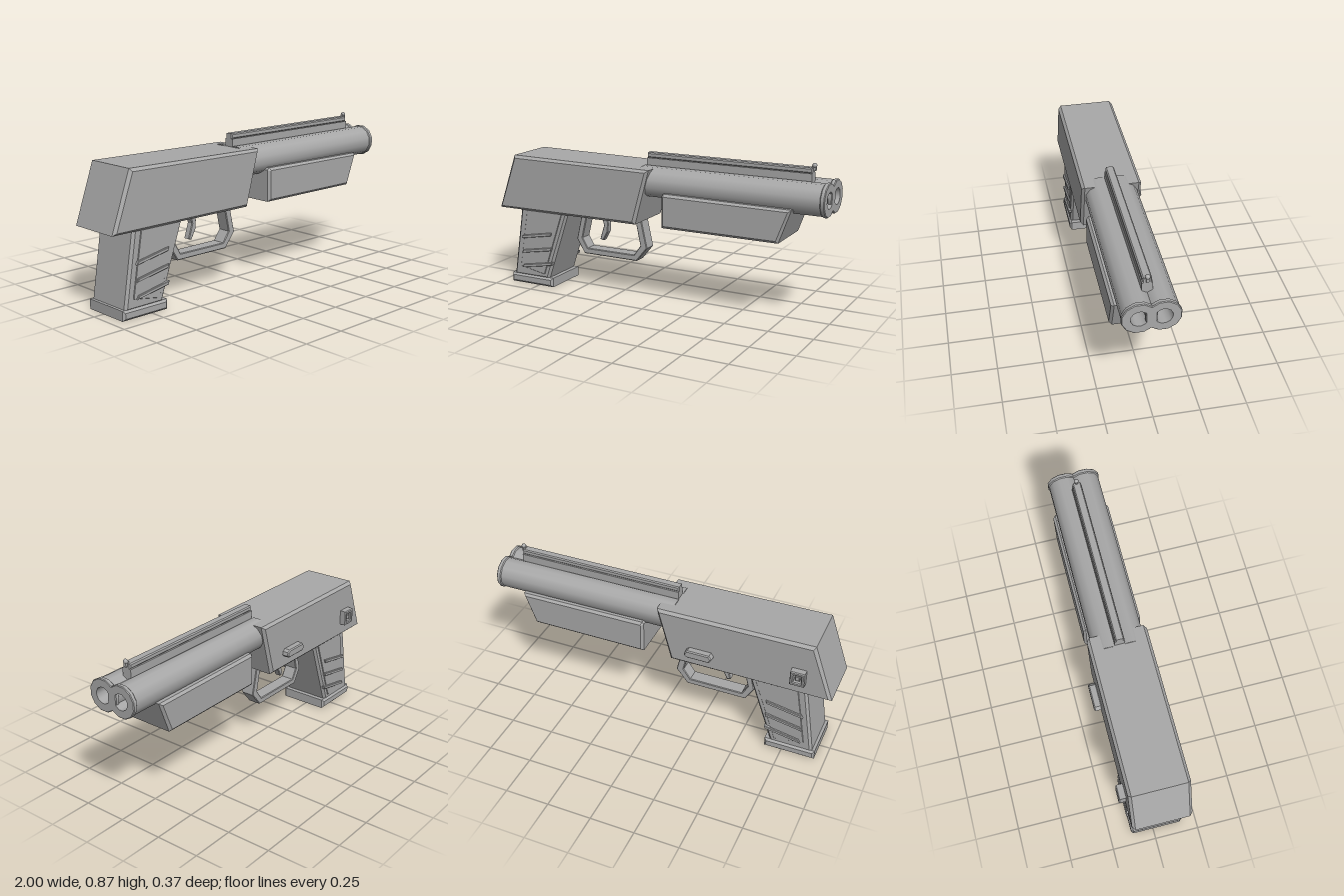
import * as THREE from 'three';
import { toCreasedNormals } from 'three/addons/utils/BufferGeometryUtils.js';

const ZC = 0.021; // middle plane of the model
const metal = new THREE.MeshStandardMaterial({ color: 0xa8a8a8 });
metal.name = 'grey metal';

const toShape = (pts) => new THREE.Shape(pts.map(([x, y]) => new THREE.Vector2(x, y)));

export function createModel() {
  const model = new THREE.Group();
  model.name = 'toyBlaster';

  const add = (name, geometry, x = 0, y = 0, z = 0) => {
    const mesh = new THREE.Mesh(geometry, metal);
    mesh.name = name;
    mesh.position.set(x, y, z);
    model.add(mesh);
    return mesh;
  };

  // Side profile extruded across z, with chamfers that stay inside the outline
  const slab = (name, pts, width, bevel, z = ZC, hole = null) => {
    const shape = toShape(pts);
    if (hole) shape.holes.push(toShape(hole));
    const geometry = new THREE.ExtrudeGeometry(shape, {
      depth: width - 2 * bevel,
      bevelEnabled: bevel > 0,
      bevelThickness: bevel,
      bevelSize: bevel,
      bevelOffset: -bevel,
      bevelSegments: 1,
    });
    geometry.translate(0, 0, -width / 2 + bevel);
    return add(name, geometry, 0, 0, z);
  };
  const rect = (x0, x1, y0, y1) => [[x0, y0], [x1, y0], [x1, y1], [x0, y1]];

  // Receiver and fore-end
  slab('receiver', [[-1, 0.455], [-0.085, 0.455], [0, 0.768], [-0.887, 0.778]], 0.332, 0.016);
  slab('foreEnd', [[0.08, 0.455], [0.76, 0.455], [0.828, 0.64], [0.09, 0.647], [0.08, 0.635]], 0.324, 0.014);

  // Paired barrels with raised muzzle rings and open bores
  const profile = [
    [0, -0.08], [0.086, -0.08], [0.086, 0.974], [0.091, 0.979],
    [0.091, 0.996], [0.087, 1], [0.045, 1], [0.045, 0.88], [0, 0.88],
  ].map(([r, h]) => new THREE.Vector2(r, h));
  for (const side of [-1, 1]) {
    const geometry = toCreasedNormals(new THREE.LatheGeometry(profile, 12, Math.PI / 12), 0.6);
    geometry.rotateZ(-Math.PI / 2);
    add(side > 0 ? 'frontBarrel' : 'backBarrel', geometry, 0, 0.691, ZC + side * 0.0595);
  }

  // Sighting rib and bead
  slab('ribBase', rect(-0.075, 0.888, 0.73, 0.813), 0.055, 0);
  slab('ribTop', rect(-0.075, 0.888, 0.813, 0.842), 0.048, 0.006);
  slab('beadPost', rect(0.878, 0.9, 0.825, 0.852), 0.016, 0);
  add('bead', new THREE.SphereGeometry(0.013, 12, 8), 0.892, 0.853, ZC);

  // Trigger guard and trigger
  slab('triggerGuard',
    [[-0.5, 0.46], [-0.54, 0.29], [-0.49, 0.207], [-0.14, 0.207], [-0.072, 0.29], [-0.11, 0.46]],
    0.08, 0.004, ZC,
    [[-0.468, 0.441], [-0.502, 0.3], [-0.468, 0.241], [-0.157, 0.241], [-0.115, 0.3], [-0.145, 0.441]]);
  slab('trigger',
    [[-0.385, 0.46], [-0.367, 0.385], [-0.393, 0.302], [-0.372, 0.295], [-0.342, 0.35], [-0.338, 0.4], [-0.345, 0.46]],
    0.04, 0.004);

  // Grip and its base plate
  slab('grip', [[-0.925, 0.045], [-0.68, 0.045], [-0.535, 0.47], [-0.86, 0.47]], 0.284, 0.014);
  slab('gripBase', rect(-0.94, -0.65, 0, 0.055), 0.298, 0.012);

  // Grip panels and slanted ribs on both sides
  for (const side of [-1, 1]) {
    slab('gripPanel', [[-0.873, 0.105], [-0.705, 0.075], [-0.575, 0.455], [-0.815, 0.455]],
      0.008, 0.002, ZC + side * 0.143);
    for (let i = 0; i < 3; i++) {
      const y = 0.1 + i * 0.09;
      slab('gripRib', [[-0.855, y], [-0.65, y + 0.037], [-0.645, y + 0.057], [-0.845, y + 0.02]],
        0.022, 0.003, ZC + side * 0.147);
    }
  }

  // Controls on the back side
  slab('slideLever',
    [[-0.34, 0.555], [-0.325, 0.532], [-0.195, 0.532], [-0.18, 0.545], [-0.185, 0.565], [-0.2, 0.578], [-0.325, 0.578]],
    0.044, 0.006, -0.164);
  slab('buttonFrame', rect(-0.855, -0.775, 0.535, 0.622), 0.044, 0.005, -0.162,
    rect(-0.837, -0.793, 0.555, 0.602));
  slab('button', rect(-0.828, -0.802, 0.564, 0.593), 0.032, 0.003, -0.16);

  return model;
}
